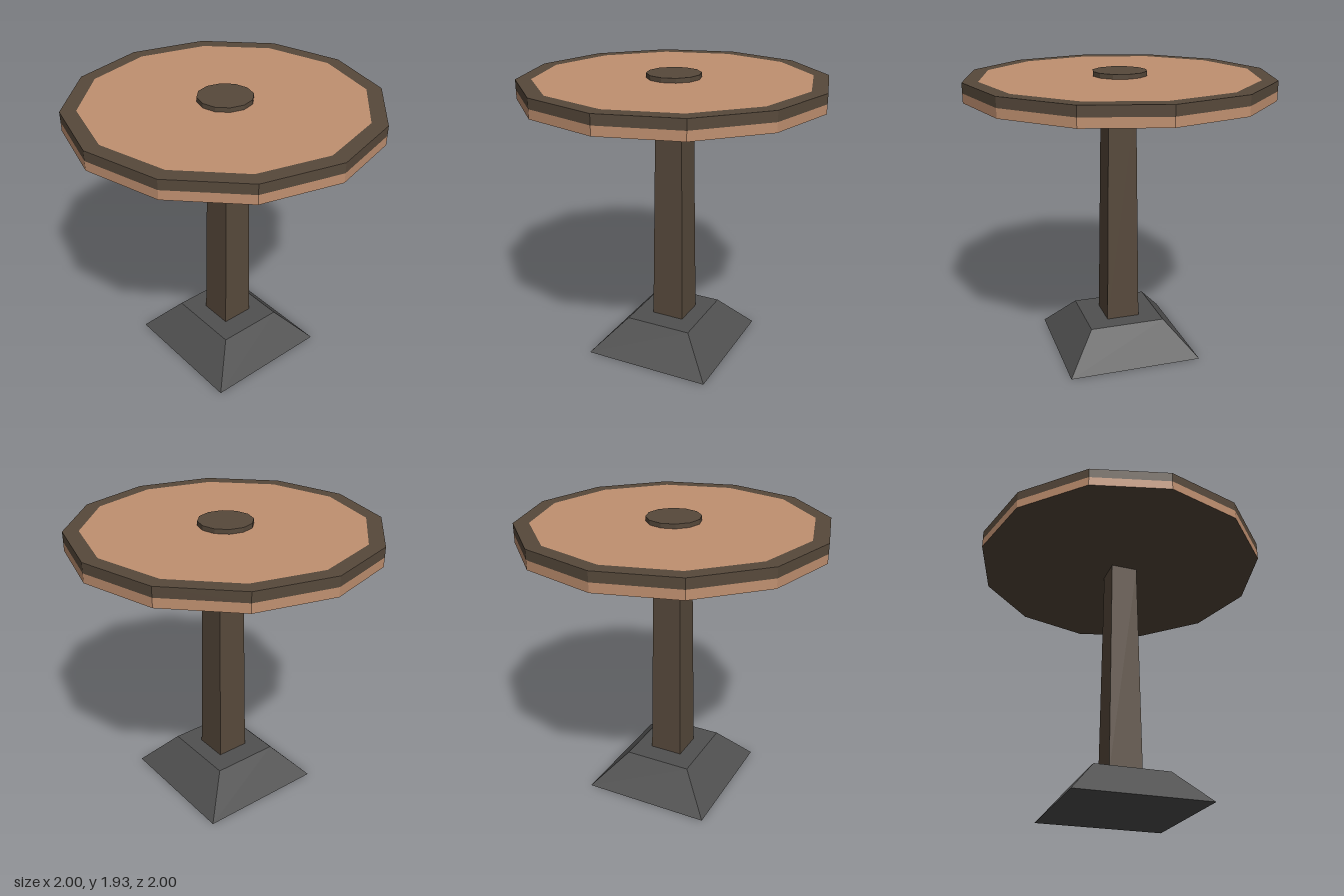
import * as THREE from 'three';

const SIDES = 12;
const material = (color) => new THREE.MeshStandardMaterial({ color, flatShading: true });

export function createModel() {
  const group = new THREE.Group();
  const lightWood = material(0xc09070);
  const darkWood = material(0x57493b);
  const stone = material(0x505050);

  function add(name, geometry, mat) {
    const mesh = new THREE.Mesh(geometry, mat);
    mesh.name = name;
    group.add(mesh);
    return mesh;
  }

  // Twelve-sided surface swept from a [radius, height] profile
  const ring = (...points) =>
    new THREE.LatheGeometry(points.map(([r, y]) => new THREE.Vector2(r, y)), SIDES);

  // Tapered block with a rectangular cross-section, given half widths
  function taper(topX, topZ, bottomX, bottomZ, y0, y1, x, z) {
    const geometry = new THREE.BoxGeometry(2, y1 - y0, 2);
    const p = geometry.attributes.position;
    for (let i = 0; i < p.count; i++) {
      const top = p.getY(i) > 0;
      p.setX(i, p.getX(i) * (top ? topX : bottomX));
      p.setZ(i, p.getZ(i) * (top ? topZ : bottomZ));
    }
    geometry.translate(x, (y0 + y1) / 2, z);
    geometry.computeVertexNormals();
    return geometry;
  }

  // Pedestal, set slightly off the tabletop's centre
  add('base', taper(0.23, 0.257, 0.437, 0.452, 0, 0.23, 0.008, 0.015), stone);
  add('column', taper(0.092, 0.092, 0.113, 0.113, 0.23, 1.775, 0.012, 0.013), darkWood);

  // Tabletop: dark underside, light lower edge, dark rim and light inset panel
  add('tabletopUnderside', ring([0, 1.775], [1, 1.775]), darkWood);
  add('tabletopLowerEdge', ring([1, 1.775], [1, 1.835]), lightWood);
  add('tabletopRim', ring([1, 1.835], [1, 1.9], [0.9, 1.9]), darkWood);
  add('tabletopPanel', ring([0.9, 1.9], [0, 1.9]), lightWood);

  // Raised disc in the middle
  add('centreDisc', ring([0.178, 1.9], [0.178, 1.93], [0, 1.93]), darkWood);

  return group;
}
